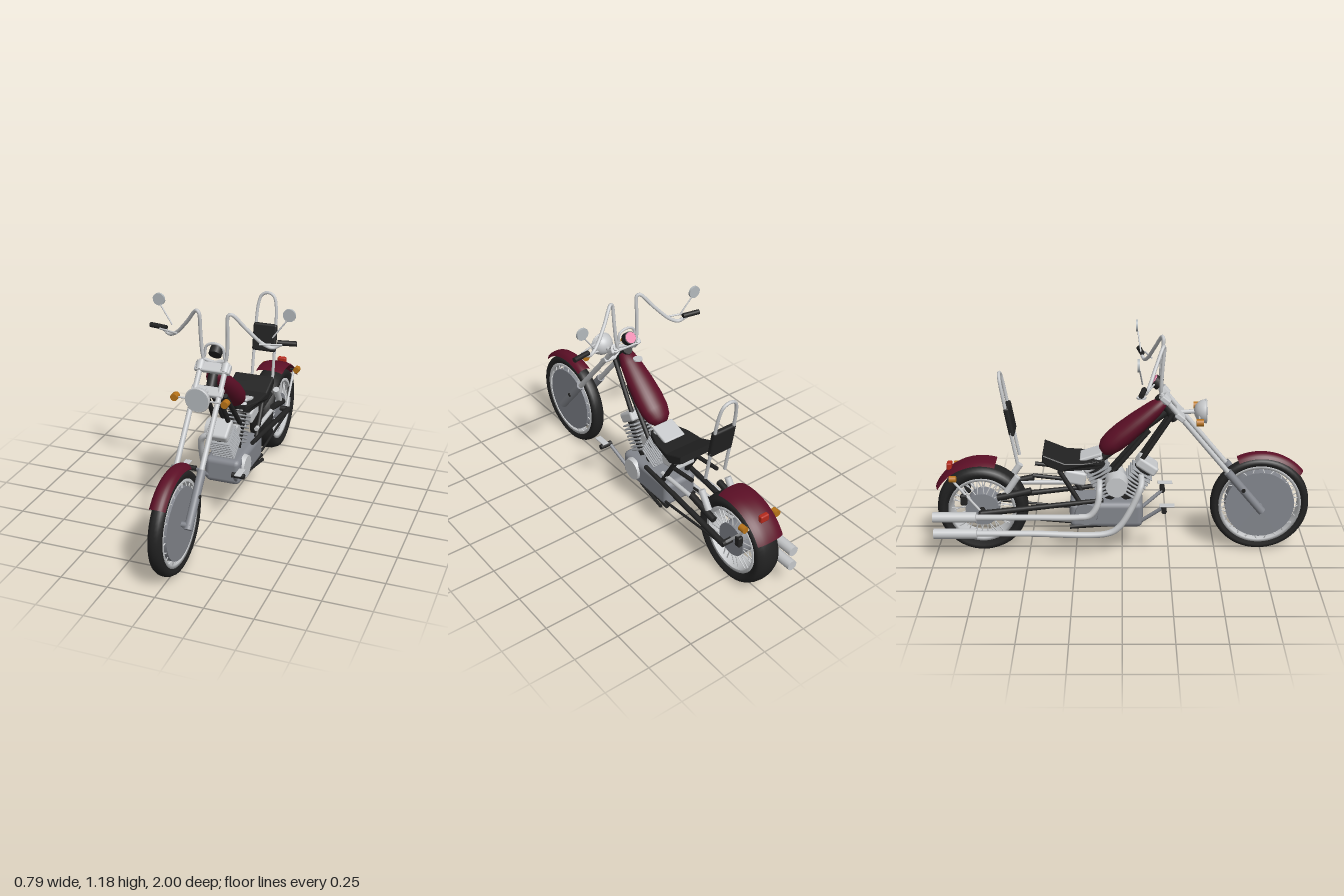
import * as THREE from 'three';
import { RoundedBoxGeometry } from 'three/addons/geometries/RoundedBoxGeometry.js';

const M = {};
for (const [name, color] of Object.entries({
  black: 0x222222, maroon: 0x5c0f26, chrome: 0xc6c8ca, grey: 0x83868d, fin: 0xa2a5a9,
  orange: 0xb87318, red: 0xb52a1c, pink: 0xf088b0, glass: 0xb4babd })) {
  M[name] = new THREE.MeshStandardMaterial({ color });
  M[name].name = name;
}
M.maroon.side = THREE.DoubleSide;
const V = (p) => new THREE.Vector3(...p);
const UP = new THREE.Vector3(0, 1, 0);

export function createModel() {
  const root = new THREE.Group();
  root.name = 'chopper';

  const add = (name, geo, mat, pos = [0, 0, 0], rot = [0, 0, 0], parent = root) => {
    const m = new THREE.Mesh(geo, mat);
    m.name = name;
    m.position.set(...pos);
    m.rotation.set(...rot);
    parent.add(m);
    return m;
  };
  const rod = (name, a, b, r, mat, r2 = r, parent = root) => {
    const d = V(b).sub(V(a));
    const m = add(name, new THREE.CylinderGeometry(r2, r, d.length(), 14), mat, [0, 0, 0], [0, 0, 0], parent);
    m.position.copy(V(a)).addScaledVector(d, 0.5);
    m.quaternion.setFromUnitVectors(UP, d.normalize());
    return m;
  };
  const tube = (name, pts, r, mat) =>
    add(name, new THREE.TubeGeometry(new THREE.CatmullRomCurve3(pts.map(V), false, 'centripetal'), 60, r, 10), mat);
  const box = (name, w, h, d, mat, pos, rx = 0, r = 0.008) =>
    add(name, new RoundedBoxGeometry(w, h, d, 2, r), mat, pos, [rx, 0, 0]);
  const lathe = (pts, seg = 48, a = 0, len = Math.PI * 2) =>
    new THREE.LatheGeometry(pts.map((p) => new THREE.Vector2(...p)), seg, a, len);
  const sides = (fn) => [1, -1].forEach(fn);
  const SIDE = [0, 0, Math.PI / 2]; // turns a y axis into the x axis

  // Wheels: tyre, rim ring, spokes and hub around the x axis
  function wheel(name, y, z, R, rimR, half, hubR, hubHalf, spokes) {
    const g = new THREE.Group();
    g.name = name;
    g.position.set(0, y, z);
    root.add(g);
    const t = R - rimR;
    add('tyre', lathe([[rimR, -half * 0.75], [rimR + t * 0.4, -half], [rimR + t * 0.75, -half * 0.92], [R - t * 0.06, -half * 0.5],
      [R, 0], [R - t * 0.06, half * 0.5], [rimR + t * 0.75, half * 0.92], [rimR + t * 0.4, half], [rimR, half * 0.75],
      [rimR, -half * 0.75]], 56), M.black, [0, 0, 0], SIDE, g);
    add('rim', lathe([[rimR - 0.012, -half * 0.8], [rimR + 0.004, -half * 0.8], [rimR + 0.004, half * 0.8],
      [rimR - 0.012, half * 0.8], [rimR - 0.012, -half * 0.8]], 56), M.chrome, [0, 0, 0], SIDE, g);
    add('hubDisc', new THREE.CylinderGeometry(hubR, hubR, hubHalf * 2, 48), M.grey, [0, 0, 0], SIDE, g);
    for (let i = 0; i < spokes; i++) {
      const a = (i / spokes) * Math.PI * 2, b = a + (i % 2 ? 0.12 : -0.12), s = i % 4 < 2 ? 1 : -1;
      rod('spoke', [s * hubHalf * 0.85, Math.sin(a) * hubR * 0.95, Math.cos(a) * hubR * 0.95],
        [s * half * 0.45, Math.sin(b) * rimR, Math.cos(b) * rimR], 0.003, M.chrome, 0.003, g);
    }
  }
  wheel('frontWheel', 0.272, 0.737, 0.265, 0.218, 0.036, 0.185, 0.034, 48);
  wheel('rearWheel', 0.252, -0.748, 0.244, 0.178, 0.069, 0.09, 0.05, 48);
  rod('frontAxle', [-0.08, 0.27, 0.737], [0.08, 0.27, 0.737], 0.014, M.grey);
  rod('rearAxle', [-0.11, 0.252, -0.748], [0.11, 0.252, -0.748], 0.016, M.black);

  // Fenders: arched sections swept part of the way round each wheel
  const fender = (name, y, z, r, w, drop, a0, a1) => {
    const pts = [];
    for (let i = 0; i <= 10; i++) {
      const u = i / 5 - 1;
      pts.push([r - drop * Math.abs(u) ** 3, u * w]);
    }
    const rad = Math.PI / 180;
    add(name, lathe(pts, 28, a0 * rad, (a1 - a0) * rad), M.maroon, [0, y, z], SIDE);
  };
  fender('frontFender', 0.272, 0.737, 0.293, 0.042, 0.025, 40, 116);
  fender('rearFender', 0.252, -0.748, 0.278, 0.08, 0.016, 73, 151);

  // Fork, clamps and forward controls
  sides((s) => {
    rod('forkTube', [s * 0.067, 0.44, 0.587], [s * 0.067, 0.91, 0.2], 0.014, M.chrome);
    rod('forkLeg', [s * 0.07, 0.25, 0.745], [s * 0.07, 0.48, 0.555], 0.022, M.grey);
    rod('forkBolt', [s * 0.08, 0.38, 0.64], [s * 0.095, 0.38, 0.64], 0.011, M.black);
    rod('clampCap', [s * 0.067, 0.87, 0.235], [s * 0.067, 0.905, 0.207], 0.024, M.chrome);
    rod('footPegArm', [s * 0.08, 0.2, 0.1], [s * 0.11, 0.295, 0.22], 0.01, M.grey);
    rod('footPeg', [s * 0.1, 0.295, 0.22], [s * 0.17, 0.295, 0.22], 0.014, M.black);
    box('pedal', 0.036, 0.008, 0.08, M.chrome, [s * 0.15, 0.323, 0.235], 0, 0.003);
  });
  box('upperClamp', 0.19, 0.03, 0.055, M.chrome, [0, 0.882, 0.222], 0.69);
  box('lowerClamp', 0.17, 0.03, 0.055, M.chrome, [0, 0.785, 0.3], 0.69);
  rod('steeringHead', [0, 0.75, 0.28], [0, 0.88, 0.19], 0.026, M.black);

  // Headlight and front indicators
  add('headlightShell', new THREE.SphereGeometry(0.063, 28, 12, 0, Math.PI * 2, 0, Math.PI / 2), M.chrome, [0, 0.795, 0.437], [-Math.PI / 2, 0, 0]);
  add('headlightRim', new THREE.TorusGeometry(0.06, 0.005, 8, 36), M.chrome, [0, 0.795, 0.437]);
  add('headlightGlass', new THREE.CylinderGeometry(0.059, 0.059, 0.008, 36), M.glass, [0, 0.795, 0.438], [Math.PI / 2, 0, 0]);
  rod('headlightBracket', [0, 0.79, 0.3], [0, 0.795, 0.4], 0.012, M.chrome);
  rod('indicatorBar', [-0.12, 0.78, 0.4], [0.12, 0.78, 0.4], 0.005, M.chrome);
  sides((s) => {
    rod('frontIndicator', [s * 0.133, 0.78, 0.38], [s * 0.133, 0.78, 0.418], 0.019, M.orange);
    rod('rearIndicatorStem', [s * 0.06, 0.45, -0.89], [s * 0.1, 0.452, -0.89], 0.006, M.black);
    rod('rearIndicator', [s * 0.103, 0.452, -0.872], [s * 0.103, 0.452, -0.908], 0.018, M.orange);
  });
  box('tailLight', 0.052, 0.04, 0.028, M.red, [0, 0.488, -0.918]);

  // Tall handlebar with grips, levers and mirrors
  sides((s) => {
    tube('handlebar', [[s * 0.055, 0.9, 0.2], [s * 0.066, 0.95, 0.2], [s * 0.072, 1.05, 0.205], [s * 0.078, 1.165, 0.213],
      [s * 0.092, 1.172, 0.208], [s * 0.16, 1.09, 0.17], [s * 0.235, 1.01, 0.135], [s * 0.28, 0.99, 0.118],
      [s * 0.31, 1.005, 0.107], [s * 0.34, 1.017, 0.1]], 0.0095, M.chrome);
    rod('grip', [s * 0.3, 1.017, 0.108], [s * 0.395, 1.017, 0.092], 0.0135, M.black);
    rod('lever', [s * 0.22, 1.015, 0.158], [s * 0.33, 1.015, 0.125], 0.005, M.chrome);
    rod('mirrorStem', [s * 0.27, 1.035, 0.1], [s * 0.34, 1.13, 0.085], 0.004, M.chrome);
    rod('mirror', [s * 0.35, 1.157, 0.086], [s * 0.35, 1.157, 0.074], 0.033, M.glass);
  });
  tube('handlebarLoop', [[-0.072, 0.9, 0.205], [-0.052, 0.94, 0.2], [-0.045, 0.985, 0.2], [-0.02, 1.002, 0.2],
    [0.02, 1.002, 0.2], [0.045, 0.985, 0.2], [0.052, 0.94, 0.2], [0.072, 0.9, 0.205]], 0.007, M.chrome);
  tube('handlebarBase', [[-0.055, 0.915, 0.2], [0, 0.905, 0.2], [0.055, 0.915, 0.2]], 0.009, M.chrome);
  rod('gauge', [0, 0.942, 0.195], [0, 0.966, 0.164], 0.034, M.black);
  rod('gaugeFace', [0, 0.966, 0.164], [0, 0.969, 0.16], 0.03, M.pink);

  // Teardrop tank lying along the backbone
  const tank = lathe([[0, 0], [0.03, 0.002], [0.05, 0.03], [0.06, 0.08], [0.062, 0.15], [0.056, 0.25], [0.044, 0.36],
    [0.03, 0.42], [0, 0.43]], 32);
  tank.scale(1.3, 1, 1);
  add('tank', tank, M.maroon, [0, 0.575, -0.105], [0.863, 0, 0]);
  add('tankCap', new THREE.CylinderGeometry(0.025, 0.025, 0.008, 20), M.chrome, [0, 0.868, 0.1]);
  add('tankKnob', new THREE.CylinderGeometry(0.017, 0.017, 0.02, 16), M.black, [0, 0.74, 0.018], [-0.7, 0, 0]);

  // Seat: side outline widened toward the back
  const outline = [[-0.1, 0.515], [-0.1, 0.538], [-0.2, 0.535], [-0.3, 0.538], [-0.34, 0.555], [-0.41, 0.585],
    [-0.412, 0.555], [-0.38, 0.53], [-0.32, 0.505], [-0.13, 0.5]];
  const seat = new THREE.ExtrudeGeometry(new THREE.Shape(outline.map((p) => new THREE.Vector2(...p))),
    { depth: 0.21, bevelEnabled: true, bevelSize: 0.007, bevelThickness: 0.01, bevelSegments: 2 });
  seat.translate(0, 0, -0.105).rotateY(-Math.PI / 2);
  const sp = seat.attributes.position;
  for (let i = 0; i < sp.count; i++) {
    const k = THREE.MathUtils.smoothstep(-sp.getZ(i), 0.1, 0.24);
    sp.setX(i, sp.getX(i) * (0.58 + 0.42 * k));
  }
  seat.computeVertexNormals();
  add('seat', seat, M.black);
  box('seatPlate', 0.13, 0.02, 0.12, M.chrome, [0, 0.557, -0.165], -0.3);

  // Backrest
  const bar = [[0.062, 0.525, -0.55], [0.06, 0.75, -0.59], [0.052, 0.94, -0.623], [0.035, 0.99, -0.632], [0, 1.005, -0.635]];
  tube('backrestBar', [...bar, ...bar.slice(0, 4).reverse().map(([x, y, z]) => [-x, y, z])], 0.009, M.chrome);
  box('backrestPad', 0.14, 0.16, 0.03, M.black, [0, 0.755, -0.587], -0.175, 0.012);

  // Engine: crankcase, covers and two finned cylinders in a V
  box('crankcase', 0.2, 0.145, 0.39, M.grey, [0, 0.238, -0.085], 0, 0.03);
  rod('timingCover', [0.09, 0.245, 0.013], [0.114, 0.245, 0.013], 0.066, M.chrome, 0.06);
  rod('clutchCover', [-0.09, 0.25, -0.19], [-0.112, 0.25, -0.19], 0.068, M.grey, 0.06);
  [[0.01, 0.32, 0.6, 'front'], [-0.05, 0.32, -0.5, 'rear']].forEach(([z, y, tilt, which]) => {
    const c = new THREE.Group();
    c.name = which + 'Cylinder';
    c.position.set(0, y, z);
    c.rotation.x = tilt;
    root.add(c);
    add('barrel', new THREE.CylinderGeometry(0.05, 0.05, 0.19, 24), M.black, [0, 0.09, 0], [0, 0, 0], c);
    for (let i = 0; i < 8; i++)
      add('fin', new RoundedBoxGeometry(0.125, 0.009, 0.125, 1, 0.004), M.fin, [0, 0.03 + i * 0.02, 0], [0, 0, 0], c);
    add('head', new RoundedBoxGeometry(0.12, 0.055, 0.12, 2, 0.014), M.chrome, [0, 0.215, 0], [0, 0, 0], c);
  });
  rod('airCleaner', [-0.05, 0.415, -0.03], [-0.13, 0.415, -0.03], 0.064, M.chrome, 0.056);
  rod('carburettor', [-0.05, 0.43, -0.02], [0.05, 0.43, -0.02], 0.034, M.chrome);
  box('oilTank', 0.13, 0.075, 0.12, M.chrome, [0, 0.44, -0.25], 0.2, 0.014);

  // Twin exhausts on the right
  [[0.155, [[-0.05, 0.45, 0.1], [-0.11, 0.42, 0.1], [-0.135, 0.3, 0.05], [-0.143, 0.19, -0.02], [-0.143, 0.155, -0.08]]],
    [0.25, [[-0.05, 0.42, -0.12], [-0.11, 0.4, -0.12], [-0.137, 0.32, -0.13], [-0.143, 0.26, -0.17], [-0.143, 0.25, -0.23]]]]
    .forEach(([y, pts]) => {
      tube('exhaustPipe', [...pts, [-0.143, y, -0.5], [-0.143, y, -0.78]], 0.017, M.chrome);
      rod('muffler', [-0.143, y, -0.77], [-0.143, y, -1.0], 0.028, M.chrome);
    });

  // Frame, swingarm and struts
  rod('backbone', [0, 0.8, 0.24], [0, 0.52, -0.12], 0.02, M.black);
  sides((s) => {
    rod('downTube', [s * 0.03, 0.79, 0.265], [s * 0.04, 0.5, 0.08], 0.013, M.black);
    rod('innerTube', [s * 0.035, 0.7, 0.14], [s * 0.045, 0.42, -0.09], 0.013, M.black);
    rod('lowerTube', [s * 0.07, 0.185, 0.05], [s * 0.09, 0.17, -0.28], 0.012, M.black);
    rod('seatTube', [s * 0.08, 0.49, -0.33], [s * 0.08, 0.3, -0.22], 0.013, M.black);
    rod('swingArm', [s * 0.1, 0.33, -0.1], [s * 0.1, 0.252, -0.75], 0.012, M.black, 0.017);
    rod('lowerStay', [s * 0.095, 0.2, -0.27], [s * 0.1, 0.245, -0.74], 0.007, M.black);
    rod('seatStrut', [s * 0.08, 0.445, -0.3], [s * 0.08, 0.465, -0.47], 0.011, M.black);
    rod('fenderStrut', [s * 0.09, 0.38, -0.48], [s * 0.09, 0.34, -0.66], 0.018, M.black);
    rod('shock', [s * 0.085, 0.46, -0.55], [s * 0.085, 0.37, -0.61], 0.018, M.chrome);
    rod('fenderStay', [s * 0.085, 0.252, -0.748], [s * 0.08, 0.44, -0.9], 0.007, M.chrome);
    box('brakeBlock', 0.03, 0.06, 0.035, M.black, [s * 0.08, 0.325, -0.84]);
  });
  rod('beltGuard', [0.08, 0.355, -0.22], [0.08, 0.355, -0.6], 0.012, M.chrome);
  rod('kickstand', [0.09, 0.18, -0.05], [0.11, 0.16, -0.25], 0.009, M.black);

  return root;
}
